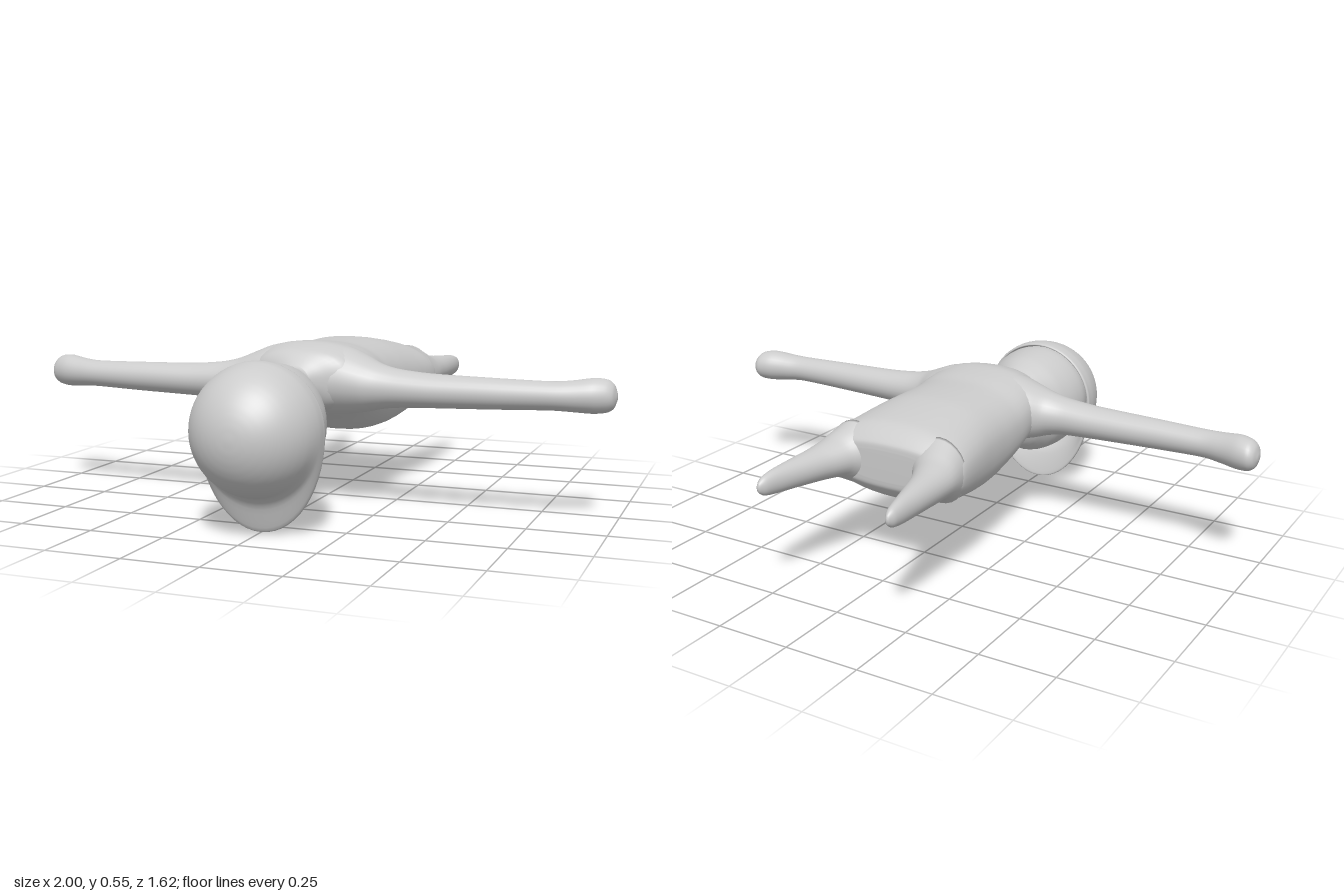
import * as THREE from 'three';

const material = new THREE.MeshStandardMaterial({ color: 0xcccccc, side: THREE.DoubleSide });

// Smooth closed loft. Each section: [s, yLow, yHigh, uLow, uHigh], s running along `axis`,
// u across it. `yMid` fixes the widest height, `power` < 1 squares the outline, `mirror` flips x.
function loft(name, axis, sections, { yMid, power = 1, mirror = 1, steps = 5, sides = 40 } = {}) {
  const heights = new THREE.CatmullRomCurve3(
    sections.map(([s, lo, hi]) => new THREE.Vector3(s, lo, hi)), false, 'catmullrom', 0.4);
  const widths = new THREE.CatmullRomCurve3(
    sections.map((q) => new THREE.Vector3(q[3], q[4], 0)), false, 'catmullrom', 0.4);
  const rows = (sections.length - 1) * steps;
  const pos = [], index = [];
  const put = (s, y, u) => (axis === 'z' ? pos.push(u * mirror, y, s) : pos.push(s * mirror, y, u));
  const bend = (v) => Math.sign(v) * Math.abs(v) ** power;
  for (let i = 0; i <= rows; i++) {
    const h = heights.getPoint(i / rows), w = widths.getPoint(i / rows);
    const mid = yMid ?? (h.y + h.z) / 2;
    for (let j = 0; j < sides; j++) {
      const a = (j / sides) * Math.PI * 2, sy = bend(Math.sin(a));
      put(h.x, mid + sy * (sy > 0 ? h.z - mid : mid - h.y),
        (w.x + w.y) / 2 + bend(Math.cos(a)) * (w.y - w.x) / 2);
    }
  }
  for (let i = 0; i < rows; i++) {
    for (let j = 0; j < sides; j++) {
      const a = i * sides + j, b = i * sides + (j + 1) % sides;
      index.push(a, b, b + sides, a, b + sides, a + sides);
    }
  }
  // End fans
  const first = sections[0], last = sections.at(-1), n = (rows + 1) * sides;
  for (const q of [first, last]) put(q[0], yMid ?? (q[1] + q[2]) / 2, (q[3] + q[4]) / 2);
  for (let j = 0; j < sides; j++) {
    const k = (j + 1) % sides;
    index.push(n, k, j, n + 1, rows * sides + j, rows * sides + k);
  }
  // Turn the faces outward if the enclosed volume is negative
  const p = (i) => new THREE.Vector3().fromArray(pos, i * 3);
  let volume = 0;
  for (let i = 0; i < index.length; i += 3) volume += p(index[i]).dot(p(index[i + 1]).cross(p(index[i + 2])));
  if (volume < 0) index.reverse();
  const geometry = new THREE.BufferGeometry();
  geometry.setAttribute('position', new THREE.Float32BufferAttribute(pos, 3));
  geometry.setIndex(index);
  geometry.computeVertexNormals();
  const mesh = new THREE.Mesh(geometry, material);
  mesh.name = name;
  return mesh;
}

// Section symmetric in u
const sym = ([s, lo, hi, w]) => [s, lo, hi, -w, w];

export function createModel() {
  const model = new THREE.Group();
  model.name = 'lyingFigure';

  // Torso, from the neck back to the hips
  model.add(loft('torso', 'z', [
    [0.305, 0.40, 0.465, 0.04], [0.285, 0.37, 0.495, 0.09], [0.25, 0.335, 0.53, 0.17],
    [0.17, 0.305, 0.55, 0.215], [0.08, 0.275, 0.545, 0.225], [0, 0.24, 0.537, 0.225],
    [-0.1, 0.215, 0.537, 0.228], [-0.2, 0.212, 0.535, 0.236], [-0.3, 0.228, 0.523, 0.248],
    [-0.39, 0.248, 0.507, 0.258], [-0.43, 0.272, 0.485, 0.257], [-0.46, 0.305, 0.455, 0.235],
    [-0.465, 0.33, 0.43, 0.17],
  ].map(sym), { power: 0.85 }));

  // Arms with flared shoulders and rounded, slightly bent-back hands
  const arm = [
    [0.06, 0.31, 0.547, 0.02, 0.285], [0.14, 0.315, 0.532, 0.03, 0.277], [0.2, 0.325, 0.508, 0.06, 0.268],
    [0.25, 0.338, 0.487, 0.10, 0.256], [0.31, 0.347, 0.473, 0.118, 0.25], [0.42, 0.352, 0.463, 0.125, 0.245],
    [0.62, 0.358, 0.458, 0.132, 0.236], [0.8, 0.364, 0.455, 0.13, 0.225], [0.87, 0.361, 0.46, 0.115, 0.217],
    [0.93, 0.357, 0.468, 0.094, 0.208], [0.97, 0.361, 0.463, 0.088, 0.192],
    [0.99, 0.374, 0.447, 0.1, 0.177], [1.0, 0.4, 0.42, 0.125, 0.15],
  ];
  // Short tapering legs
  const leg = [
    [-0.4, 0.27, 0.49, 0.06, 0.255], [-0.45, 0.3, 0.465, 0.085, 0.26], [-0.49, 0.32, 0.447, 0.113, 0.262],
    [-0.56, 0.328, 0.435, 0.145, 0.26], [-0.66, 0.336, 0.427, 0.176, 0.259], [-0.74, 0.342, 0.42, 0.199, 0.256],
    [-0.785, 0.35, 0.41, 0.212, 0.251], [-0.805, 0.364, 0.396, 0.224, 0.241], [-0.81, 0.375, 0.385, 0.23, 0.236],
  ];
  for (const [side, mirror] of [['left', 1], ['right', -1]]) {
    model.add(loft(`${side}Arm`, 'x', arm, { mirror, sides: 28 }));
    model.add(loft(`${side}Leg`, 'z', leg, { mirror, sides: 28 }));
  }

  // Neck and head in one egg-like form
  model.add(loft('head', 'z', [
    [0.27, 0.37, 0.5, 0.09], [0.3, 0.385, 0.478, 0.05], [0.325, 0.378, 0.478, 0.045],
    [0.345, 0.31, 0.482, 0.065], [0.37, 0.235, 0.487, 0.095], [0.4, 0.183, 0.495, 0.128],
    [0.45, 0.148, 0.508, 0.166], [0.51, 0.14, 0.516, 0.186], [0.57, 0.148, 0.518, 0.19],
    [0.63, 0.165, 0.5, 0.17], [0.68, 0.21, 0.44, 0.11],
  ].map(sym)));

  // Domed cap: outer shell, flaring below into the brim, then back inside
  const dome = [];
  for (let i = 0; i <= 9; i++) {
    const a = 0.05 + (i / 9) * 1.3, r = 0.208 * Math.sin(a);
    dome.push([0.6 + 0.208 * Math.cos(a), 0.32 - r, 0.32 + r, r]);
  }
  model.add(loft('cap', 'z', [
    ...dome,
    [0.618, 0.09, 0.529, 0.208], [0.602, 0.045, 0.53, 0.209], [0.588, 0.005, 0.53, 0.209],
    [0.575, 0, 0.528, 0.209], [0.572, 0.008, 0.522, 0.202],
    [0.582, 0.05, 0.518, 0.197], [0.6, 0.1, 0.515, 0.195], [0.63, 0.132, 0.508, 0.188],
    [0.7, 0.18, 0.46, 0.14],
  ].map(sym), { yMid: 0.32, steps: 3, sides: 56 }));

  return model;
}
